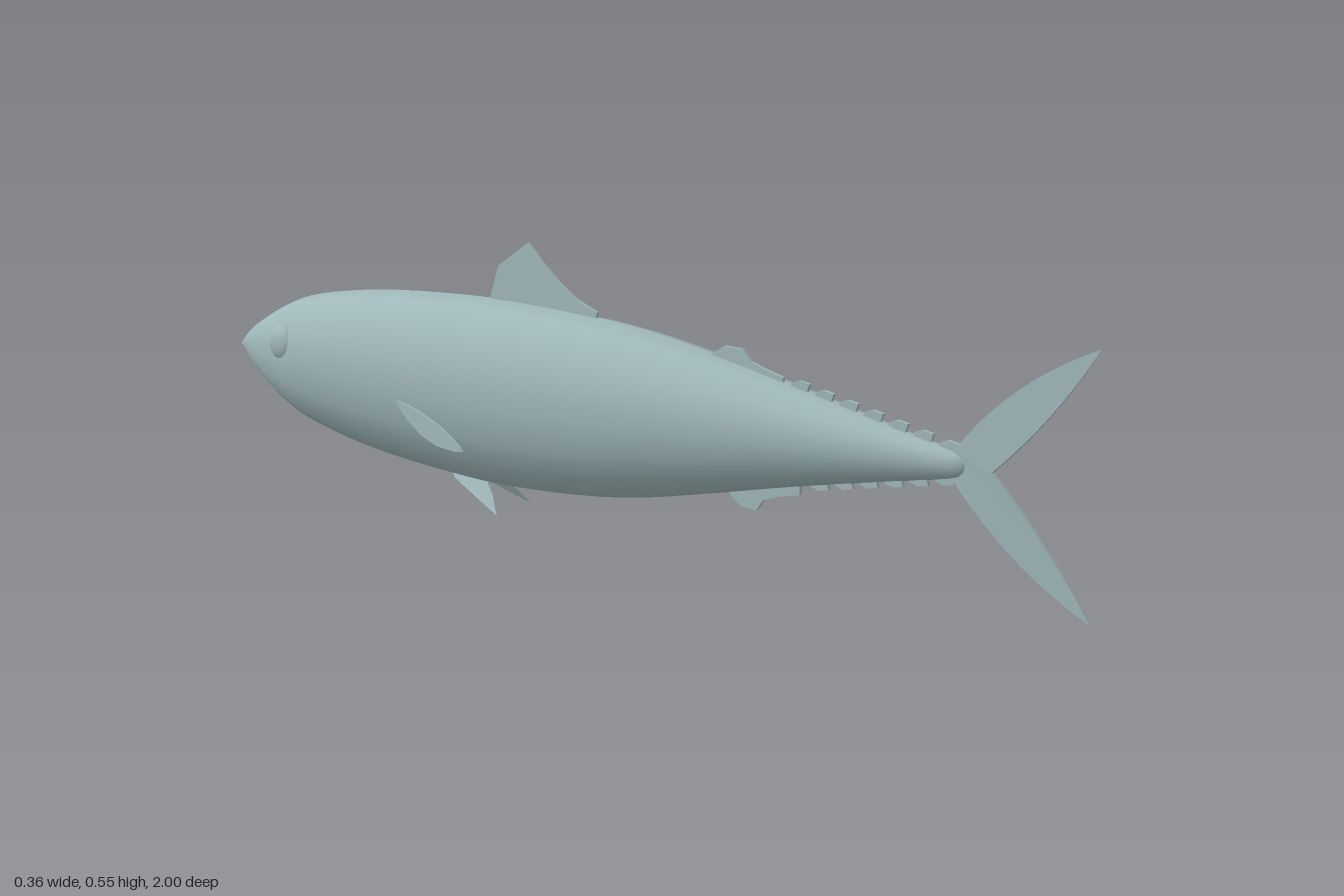
import * as THREE from 'three';

const skin = new THREE.MeshStandardMaterial({ color: 0xa0b8bb });
skin.name = 'silver grey skin';

// Body stations from nose to tail: z, top y, bottom y, half width
const STATIONS = [
  [-1, 0.252, 0.248, 0.002], [-0.97, 0.283, 0.217, 0.019], [-0.93, 0.312, 0.186, 0.042],
  [-0.86, 0.352, 0.143, 0.069], [-0.77, 0.384, 0.109, 0.093], [-0.6, 0.412, 0.075, 0.113],
  [-0.4, 0.426, 0.056, 0.122], [-0.22, 0.428, 0.052, 0.125], [0, 0.415, 0.071, 0.118],
  [0.2, 0.385, 0.112, 0.1], [0.4, 0.345, 0.158, 0.074], [0.6, 0.301, 0.2, 0.041],
  [0.71, 0.279, 0.222, 0.021], [0.74, 0.268, 0.232, 0.011], [0.75, 0.251, 0.249, 0.001],
];

// Smooth body lofted through 16-sided egg-shaped sections
function bodyGeometry() {
  const sides = 16, rings = 56;
  const heights = new THREE.CatmullRomCurve3(STATIONS.map(s => new THREE.Vector3(s[0], s[1], s[2])), false, 'catmullrom');
  const widths = new THREE.CatmullRomCurve3(STATIONS.map(s => new THREE.Vector3(s[0], s[3], 0)), false, 'catmullrom');
  const pos = [], index = [];
  for (let i = 0; i <= rings; i++) {
    const h = heights.getPoint(i / rings), w = widths.getPoint(i / rings).y;
    for (let j = 0; j < sides; j++) {
      const a = (j / sides) * Math.PI * 2, s = Math.sin(a);
      pos.push(w * Math.cos(a) * (1 + 0.07 * s), (h.y + h.z) / 2 + s * (h.y - h.z) / 2, h.x);
      if (i === rings) continue;
      const k = (j + 1) % sides, p = i * sides, q = p + sides;
      index.push(p + j, p + k, q + j, p + k, q + k, q + j);
    }
  }
  const g = new THREE.BufferGeometry();
  g.setAttribute('position', new THREE.Float32BufferAttribute(pos, 3));
  g.setIndex(index);
  g.computeVertexNormals();
  return g;
}

const outline = pts => new THREE.Shape(pts.map(p => new THREE.Vector2(p[0], p[1])));

// Fin cut from a (z, y) outline; place(x, y, z) returns the new x for taper or slant
function finGeometry(shape, thickness, place) {
  const g = new THREE.ExtrudeGeometry(shape, { depth: thickness, bevelEnabled: false, curveSegments: 10 });
  g.translate(0, 0, -thickness / 2).rotateY(-Math.PI / 2);
  const p = g.attributes.position;
  for (let i = 0; i < p.count; i++) p.setX(i, place(p.getX(i), p.getY(i), p.getZ(i)));
  g.computeVertexNormals();
  return g;
}

export function createModel() {
  const fish = new THREE.Group();
  fish.name = 'fish';
  const add = (name, geometry) => {
    const m = new THREE.Mesh(geometry, skin);
    m.name = name;
    fish.add(m);
    return m;
  };

  add('body', bodyGeometry());

  // Fins on the centre line, thinning towards the edge
  const thin = (x, y) => x * Math.max(0.15, 1 - Math.abs(y - 0.24) * 2.6);
  add('dorsalFin', finGeometry(outline([[-0.32, 0.41], [-0.32, 0.43], [-0.3, 0.495], [-0.225, 0.55],
    [-0.19, 0.513], [-0.15, 0.478], [-0.11, 0.45], [-0.06, 0.43], [-0.06, 0.4]]), 0.016, thin));
  add('secondDorsalFin', finGeometry(outline([[0.2, 0.35], [0.2, 0.38], [0.235, 0.403], [0.275, 0.402],
    [0.295, 0.38], [0.325, 0.37], [0.365, 0.36], [0.365, 0.33]]), 0.012, thin));
  add('analFin', finGeometry(outline([[0.25, 0.15], [0.25, 0.122], [0.275, 0.1], [0.31, 0.098],
    [0.325, 0.12], [0.36, 0.133], [0.405, 0.143], [0.405, 0.18]]), 0.012, thin));

  // Rows of finlets above and below the tail stalk
  for (let i = 0; i < 7; i++) {
    for (const side of [1, -1]) {
      if (side < 0 && i === 6) continue;
      const z = (side > 0 ? 0.38 : 0.425) + i * 0.052;
      const y = side > 0 ? 0.349 - (z - 0.38) * 0.21 : 0.163 + (z - 0.4) * 0.2;
      add(side > 0 ? 'upperFinlet' : 'lowerFinlet', finGeometry(outline([[z, y - side * 0.012], [z + 0.004, y + side * 0.004],
        [z + 0.02, y + side * 0.01], [z + 0.042, y + side * 0.006], [z + 0.036, y - side * 0.014]]), 0.008, x => x));
    }
  }

  // Crescent tail
  const tail = new THREE.Shape();
  tail.moveTo(0.7, 0.25);
  tail.lineTo(0.725, 0.277);
  tail.quadraticCurveTo(0.83, 0.42, 1, 0.495);
  tail.quadraticCurveTo(0.92, 0.36, 0.8, 0.247);
  tail.quadraticCurveTo(0.92, 0.13, 1, 0.004);
  tail.quadraticCurveTo(0.84, 0.08, 0.725, 0.222);
  tail.closePath();
  add('tailFin', finGeometry(tail, 0.012, (x, y) => x * (1 - Math.abs(y - 0.25) * 3.6)));

  // Paired parts
  for (const side of [1, -1]) {
    const label = side > 0 ? 'left' : 'right';
    add(label + 'PectoralFin', finGeometry(outline([[-0.48, 0.222], [-0.41, 0.215], [-0.33, 0.197], [-0.265, 0.17],
      [-0.255, 0.161], [-0.28, 0.156], [-0.34, 0.155], [-0.39, 0.166], [-0.44, 0.19]]),
    0.005, (x, y, z) => x + side * (0.114 + (z + 0.47) * 0.285)));
    add(label + 'PelvicFin', finGeometry(outline([[-0.41, 0.07], [-0.395, 0.055], [-0.335, 0.03], [-0.268, 0.003],
      [-0.29, 0.035], [-0.31, 0.055], [-0.31, 0.075]]),
    0.006, (x, y) => x * (0.15 + y * 12) + side * (0.025 + (0.06 - y) * 0.54)));
    const eye = add(label + 'Eye', new THREE.SphereGeometry(0.037, 20, 14));
    eye.scale.x = 0.5;
    eye.position.set(side * 0.07, 0.285, -0.82);
    eye.rotation.y = side * 0.2;
  }
  return fish;
}
